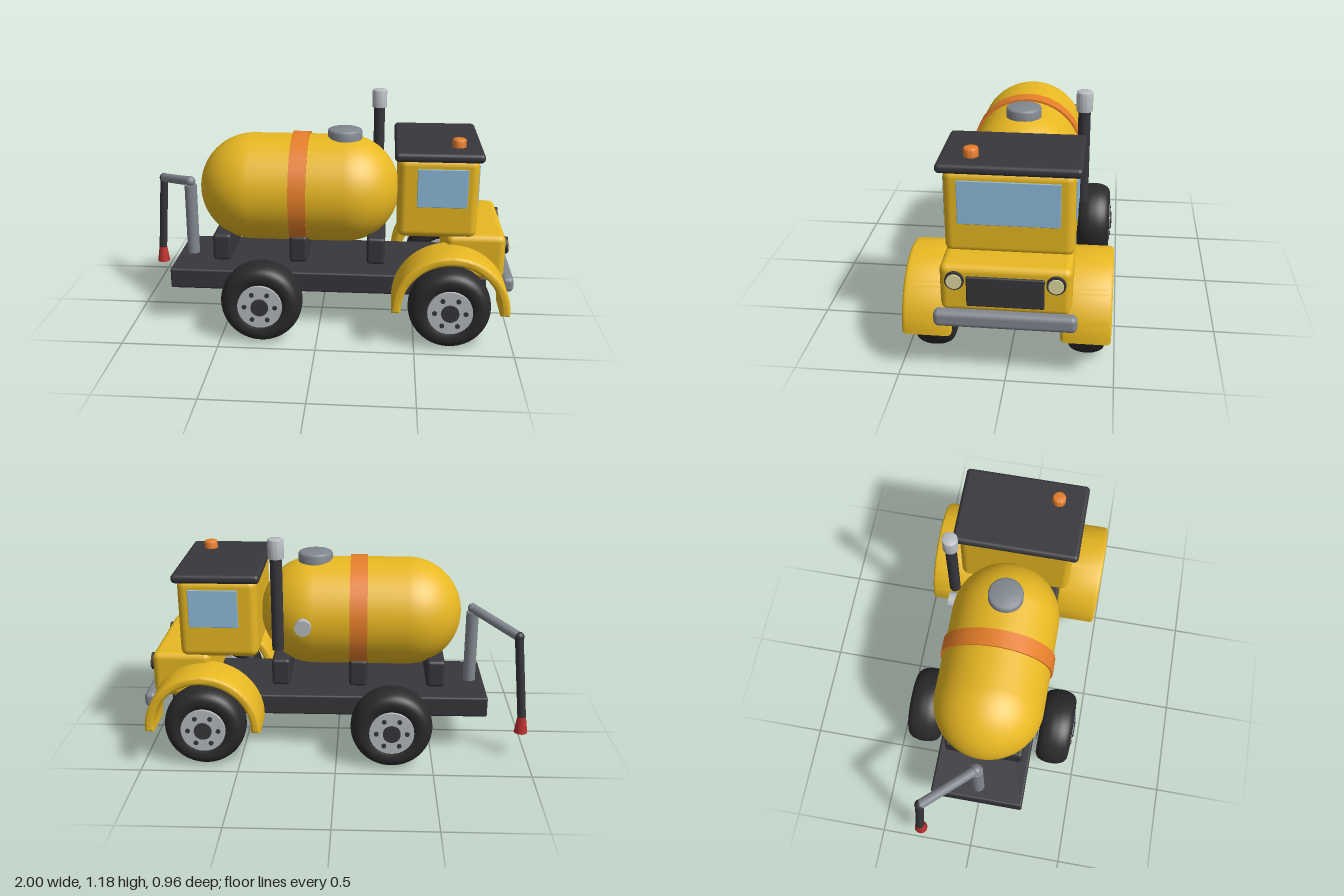
import * as THREE from 'three';
import { RoundedBoxGeometry } from 'three/addons/geometries/RoundedBoxGeometry.js';
import { toCreasedNormals } from 'three/addons/utils/BufferGeometryUtils.js';

const mat = (color) => new THREE.MeshStandardMaterial({ color });
const V = (x, y, z) => new THREE.Vector3(x, y, z);

export function createModel() {
  const truck = new THREE.Group();
  truck.name = 'tankTruck';
  const yellow = mat(0xe8b822), dark = mat(0x37373c), grey = mat(0x828890), light = mat(0xb8bcc0);
  const rubber = mat(0x2a2a2c), glass = mat(0x8ebcdc), orange = mat(0xe67e2a), cream = mat(0xe2daa0), red = mat(0xbe3030);

  const add = (name, geometry, material, parent = truck) => {
    const mesh = new THREE.Mesh(geometry, material);
    mesh.name = name;
    parent.add(mesh);
    return mesh;
  };
  // Rounded box given by its extents on each axis
  const box = (name, material, [x0, x1], [y0, y1], [z0, z1], r) => {
    const mesh = add(name, new RoundedBoxGeometry(x1 - x0, y1 - y0, z1 - z0, 4, r), material);
    mesh.position.set((x0 + x1) / 2, (y0 + y1) / 2, (z0 + z1) / 2);
    return mesh;
  };
  // Round bar from point a (radius ra) to point b (radius rb)
  const rod = (name, material, a, b, ra, rb = ra, parent = truck) => {
    const dir = b.clone().sub(a);
    const mesh = add(name, new THREE.CylinderGeometry(rb, ra, dir.length(), 32), material, parent);
    mesh.position.copy(a).add(b).multiplyScalar(0.5);
    mesh.quaternion.setFromUnitVectors(V(0, 1, 0), dir.normalize());
    return mesh;
  };
  // Upright disc with a small bevel on its top edge
  const cap = (name, material, x, y0, y1, z, r, b) => {
    const pts = [[0, y0], [r, y0], [r, y1 - b], [r - b * 0.3, y1 - b * 0.3], [r - b, y1], [0, y1]];
    const geo = new THREE.LatheGeometry(pts.map((p) => new THREE.Vector2(...p)), 40);
    add(name, toCreasedNormals(geo, 0.9), material).position.set(x, 0, z);
  };

  // Chassis and tank saddles
  box('chassis', dark, [-0.79, 0.87], [0.21, 0.32], [-0.25, 0.25], 0.012);
  for (const x of [-0.515, -0.11, 0.295]) box('tankSaddle', dark, [x - 0.048, x + 0.048], [0.36, 0.505], [-0.21, 0.21], 0.018);

  // Tank with band, hatch and side port
  const tank = add('tank', new THREE.CapsuleGeometry(0.285, 0.49, 16, 48), yellow);
  tank.rotation.z = Math.PI / 2;
  tank.position.set(-0.12, 0.715, 0);
  rod('tankBand', orange, V(-0.155, 0.715, 0), V(-0.065, 0.715, 0), 0.297);
  cap('tankHatch', grey, 0.12, 0.97, 1.038, 0, 0.09, 0.012);
  rod('sidePort', light, V(0.17, 0.72, -0.26), V(0.17, 0.72, -0.315), 0.042);

  // Exhaust stack
  rod('exhaustPipe', dark, V(0.295, 0.61, -0.312), V(0.295, 1.1, -0.312), 0.03);
  cap('exhaustTip', light, 0.295, 1.088, 1.185, -0.312, 0.04, 0.006);

  // Cab, roof, beacon and windows
  box('cab', yellow, [0.4, 0.8], [0.55, 0.965], [-0.3, 0.3], 0.04);
  box('roof', dark, [0.38, 0.82], [0.953, 1.0], [-0.33, 0.33], 0.021);
  cap('beacon', orange, 0.7, 0.99, 1.042, 0.18, 0.035, 0.008);
  box('windshield', glass, [0.78, 0.806], [0.705, 0.92], [-0.236, 0.236], 0.003);
  for (const s of [-1, 1]) {
    const w = box('sideWindow', glass, [0.495, 0.745], [0.717, 0.914], [0.285, 0.307], 0.003);
    w.position.z *= s;
  }

  // Hood, grille, bumper and headlights
  box('hood', yellow, [0.65, 0.95], [0.33, 0.57], [-0.3, 0.3], 0.035);
  box('grille', dark, [0.93, 0.96], [0.37, 0.522], [-0.177, 0.177], 0.008);
  box('bumper', grey, [0.938, 1.0], [0.275, 0.355], [-0.327, 0.327], 0.025);
  for (const z of [-0.229, 0.229]) {
    rod('headlightRing', dark, V(0.93, 0.5, z), V(0.964, 0.5, z), 0.044);
    rod('headlight', cream, V(0.94, 0.5, z), V(0.971, 0.5, z), 0.035);
  }

  // Wheels: rounded tyre, rim, hub and six bolts, alike on both faces
  const half = [[0.21, 0], [0.207, 0.035], [0.192, 0.072], [0.165, 0.089], [0.135, 0.088], [0.105, 0.075]];
  const profile = [...half.slice(1).reverse().map(([r, h]) => [r, -h]), ...half];
  const curve = new THREE.SplineCurve(profile.map((p) => new THREE.Vector2(...p)));
  const tyreGeo = new THREE.LatheGeometry(curve.getPoints(30), 56).rotateX(Math.PI / 2);
  const through = (name, material, x, y, r, h, parent) => rod(name, material, V(x, y, -h), V(x, y, h), r, r, parent);
  for (const x of [-0.285, 0.675]) {
    for (const z of [-0.365, 0.365]) {
      const wheel = new THREE.Group();
      wheel.name = 'wheel';
      wheel.position.set(x, 0.213, z);
      truck.add(wheel);
      add('tyre', tyreGeo, rubber, wheel);
      through('rim', light, 0, 0, 0.114, 0.094, wheel);
      through('hub', dark, 0, 0, 0.045, 0.104, wheel);
      for (let i = 0; i < 6; i++) {
        const a = (i * Math.PI) / 3;
        through('bolt', dark, 0.078 * Math.cos(a), 0.078 * Math.sin(a), 0.012, 0.1, wheel);
      }
    }
  }

  // Front fenders: half arches with bevelled edges
  const arch = new THREE.Shape();
  arch.absarc(0, 0, 0.28, 0, Math.PI, false);
  arch.absarc(0, 0, 0.262, Math.PI, 0, true);
  const bevel = { bevelThickness: 0.02, bevelSize: 0.015, bevelSegments: 4 };
  const archGeo = toCreasedNormals(new THREE.ExtrudeGeometry(arch, { depth: 0.19, curveSegments: 40, ...bevel }), 0.7);
  for (const z of [0.27, -0.46]) add('fender', archGeo, yellow).position.set(0.675, 0.225, z);

  // Rear discharge post, arm, hose and nozzle
  const top = V(-0.715, 0.73, 0), elbow = V(-0.925, 0.668, -0.25), end = V(-0.965, 0.23, -0.28);
  rod('hosePost', grey, V(-0.715, 0.31, 0), V(-0.715, 0.71, 0), 0.033);
  rod('hoseArm', grey, top, elbow, 0.025);
  add('armJoint', new THREE.SphereGeometry(0.027, 24, 16), grey).position.copy(top);
  add('hoseElbow', new THREE.SphereGeometry(0.026, 24, 16), dark).position.copy(elbow);
  rod('hose', dark, elbow, end, 0.022);
  rod('nozzle', red, V(-0.965, 0.145, -0.28), V(-0.965, 0.235, -0.28), 0.035, 0.022);

  return truck;
}
